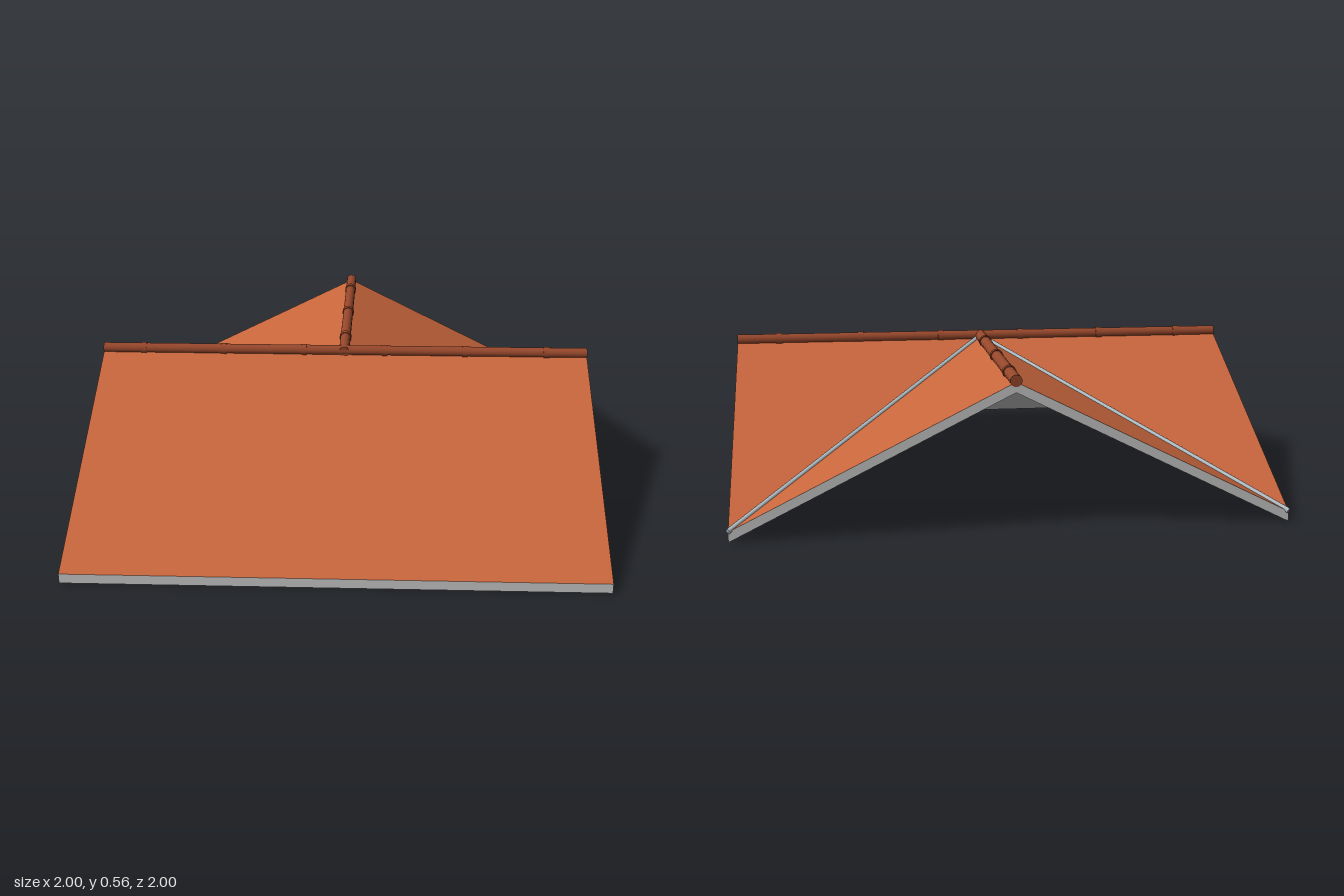
import * as THREE from 'three';

const W = 0.995;        // half width of the roof
const RIDGE = 0.536;    // top surface at the ridges
const EAVE = 0.037;     // top surface at the eaves
const THICK = 0.037;    // vertical thickness of the slabs

export function createModel() {
  const tile = new THREE.MeshStandardMaterial({ name: 'terracotta', color: 0xc8663c });
  const board = new THREE.MeshStandardMaterial({ name: 'lightGrey', color: 0xcccccc });
  const cap = new THREE.MeshStandardMaterial({ name: 'darkTerracotta', color: 0x98482c });
  const metal = new THREE.MeshStandardMaterial({ name: 'gutterGrey', color: 0xb0bec5 });

  const model = new THREE.Group();
  model.name = 'crossGableRoof';

  // Sloped slab from a top outline (counter-clockwise from above): tiled top, grey edges and underside
  function slab(name, top) {
    const low = top.map(([x, y, z]) => [x, y - THICK, z]);
    const pos = [];
    const n = top.length;
    for (let i = 1; i < n - 1; i++) pos.push(...top[0], ...top[i], ...top[i + 1]);
    const topCount = pos.length / 3;
    for (let i = 1; i < n - 1; i++) pos.push(...low[0], ...low[i + 1], ...low[i]);
    for (let i = 0; i < n; i++) {
      const j = (i + 1) % n;
      pos.push(...low[i], ...low[j], ...top[j], ...low[i], ...top[j], ...top[i]);
    }
    const g = new THREE.BufferGeometry();
    g.setAttribute('position', new THREE.Float32BufferAttribute(pos, 3));
    g.computeVertexNormals();
    g.addGroup(0, topCount, 0);
    g.addGroup(topCount, pos.length / 3 - topCount, 1);
    const mesh = new THREE.Mesh(g, [tile, board]);
    mesh.name = name;
    model.add(mesh);
  }

  // Round bar between two points
  function bar(name, a, b, radius, material, parent = model) {
    const dir = b.clone().sub(a);
    const mesh = new THREE.Mesh(new THREE.CylinderGeometry(radius, radius, dir.length(), 16), material);
    mesh.position.copy(a).add(b).multiplyScalar(0.5);
    mesh.quaternion.setFromUnitVectors(new THREE.Vector3(0, 1, 0), dir.normalize());
    mesh.name = name;
    parent.add(mesh);
  }

  // Ridge cap with a collar at every joint
  function ridge(name, a, b, joints) {
    const group = new THREE.Group();
    group.name = name;
    model.add(group);
    bar('ridgeCap', a, b, 0.0215, cap, group);
    const half = b.clone().sub(a).normalize().multiplyScalar(0.012);
    for (const t of joints) {
      const p = a.clone().lerp(b, t);
      bar('ridgeCollar', p.clone().sub(half), p.clone().add(half), 0.025, cap, group);
    }
  }

  // Front slope
  slab('frontSlope', [[-W, EAVE, 1], [W, EAVE, 1], [W, RIDGE, 0], [-W, RIDGE, 0]]);

  // Back slopes, wing slopes and valley gutters on both sides
  for (const s of [1, -1]) {
    const side = s > 0 ? 'left' : 'right';
    const centre = [0, RIDGE, 0];
    const corner = [s * W, EAVE, -W];
    const wind = (pts) => (s > 0 ? pts : pts.reverse());
    slab(side + 'BackSlope', wind([centre, [s * W, RIDGE, 0], corner]));
    slab(side + 'WingSlope', wind([centre, corner, [0, RIDGE, -W]]));
    bar(side + 'ValleyGutter', new THREE.Vector3(0, RIDGE + 0.002, 0),
      new THREE.Vector3(s * W, EAVE + 0.002, -W), 0.01, metal);
  }

  // Ridge caps
  const y = 0.54;
  ridge('mainRidge', new THREE.Vector3(-W, y, 0), new THREE.Vector3(W, y, 0),
    [1, 3, 5, 7, 9, 11].map((k) => k / 12));
  ridge('wingRidge', new THREE.Vector3(0, y, 0.02), new THREE.Vector3(0, y, -W),
    [1, 3, 5].map((k) => (k / 6 * W + 0.02) / (W + 0.02)));

  return model;
}
